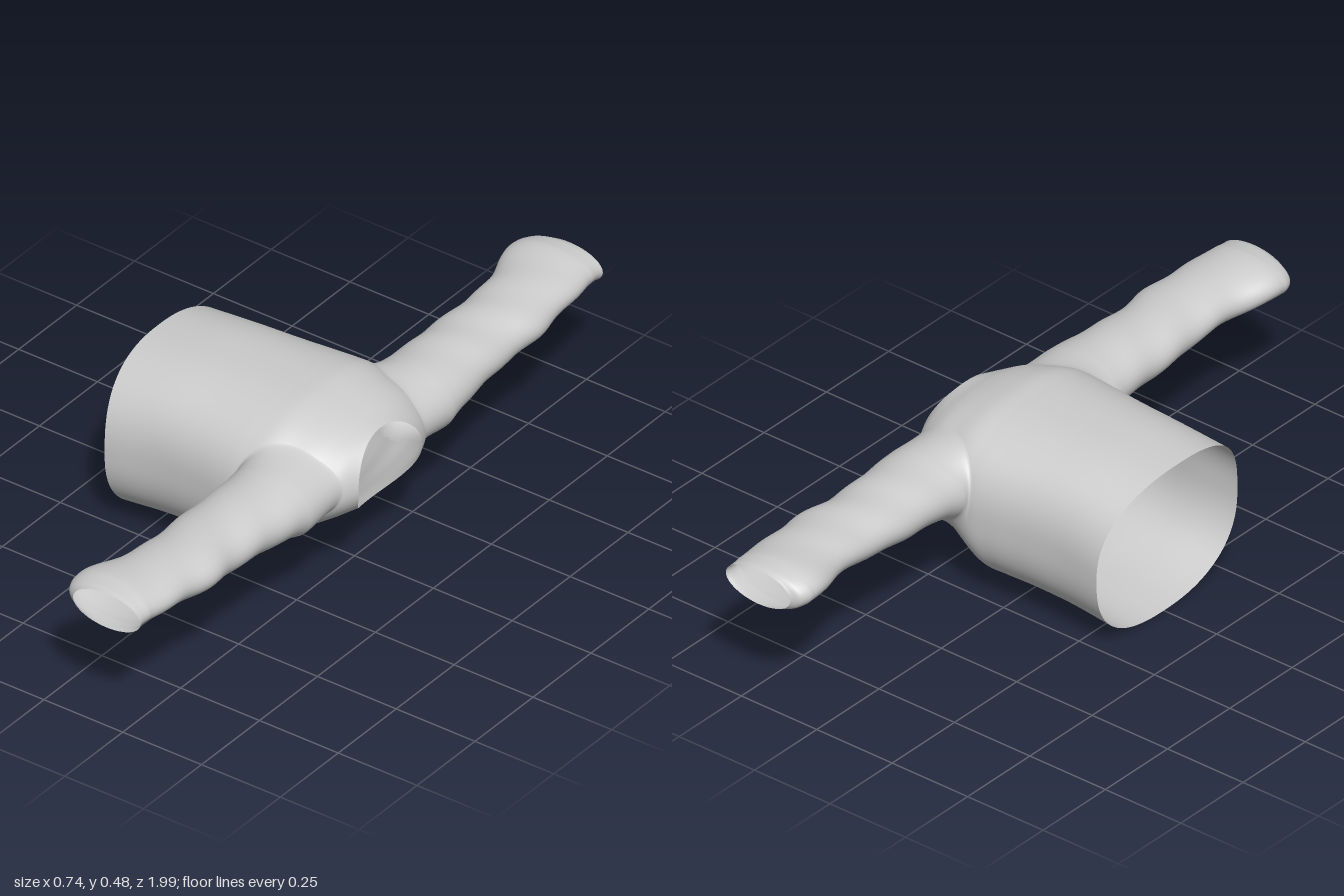
import * as THREE from 'three';

// Smooth interpolation through rows of numbers, t in row units
function sampleRows(rows, t) {
  const last = rows.length - 1;
  const i = Math.max(0, Math.min(last - 1, Math.floor(t)));
  const f = t - i;
  const row = (k) => rows[Math.max(0, Math.min(last, k))];
  return rows[i].map((p1, c) => {
    const p2 = row(i + 1)[c];
    const m1 = i === 0 ? p2 - p1 : (p2 - row(i - 1)[c]) / 2;
    const m2 = i + 1 === last ? p2 - p1 : (row(i + 2)[c] - p1) / 2;
    const f2 = f * f, f3 = f2 * f;
    return (2 * f3 - 3 * f2 + 1) * p1 + (f3 - 2 * f2 + f) * m1 + (3 * f2 - 2 * f3) * p2 + (f3 - f2) * m2;
  });
}

// Torso sections, hem to neck: x at bottom, side and top, y bottom, y top, half width, squareness
const TORSO = [
  [-0.325, -0.335, -0.372, 0.0, 0.464, 0.283, 2.4],
  [-0.2, -0.2, -0.21, 0.013, 0.477, 0.275, 2.5],
  [-0.08, -0.08, -0.08, 0.021, 0.481, 0.28, 2.5],
  [0.01, 0.02, 0.03, 0.025, 0.483, 0.29, 2.5],
  [0.065, 0.08, 0.09, 0.031, 0.484, 0.295, 2.5],
  [0.12, 0.14, 0.15, 0.073, 0.483, 0.288, 2.5],
  [0.17, 0.2, 0.21, 0.115, 0.47, 0.272, 2.4],
  [0.22, 0.27, 0.26, 0.152, 0.454, 0.25, 2.3],
  [0.26, 0.33, 0.3, 0.178, 0.438, 0.2, 2.1],
  [0.302, 0.364, 0.332, 0.2, 0.428, 0.138, 2.0],
];

// Sleeve sections, shoulder to cuff: z, x range, y range
const SLEEVE = [
  [0.31, 0.082, 0.342, 0.224, 0.414],
  [0.37, 0.09, 0.335, 0.243, 0.41],
  [0.5, 0.092, 0.322, 0.257, 0.406],
  [0.6, 0.095, 0.318, 0.266, 0.405],
  [0.7, 0.1, 0.326, 0.277, 0.408],
  [0.8, 0.09, 0.315, 0.288, 0.41],
  [0.92, 0.054, 0.308, 0.3, 0.416],
  [0.975, 0.062, 0.302, 0.3, 0.411],
  [0.997, 0.09, 0.304, 0.3, 0.404],
];

const signedPow = (v, e) => Math.sign(v) * Math.pow(Math.abs(v), e);

// Point of the torso at section u and angle a (a = 0 faces +z, a = PI/2 is up)
function torsoPoint(u, a) {
  const [xb, xs, xt, yb, yt, w, n] = sampleRows(TORSO, u);
  const s = signedPow(Math.sin(a), 2 / n);
  const x = xs + (s > 0 ? xt - xs : xb - xs) * s * s;
  return [x, (yb + yt) / 2 + (yt - yb) / 2 * s, w * signedPow(Math.cos(a), 2 / n)];
}

// Armhole: an ellipse in section/angle space
const HOLE = { u: 6.1, a: 0.15, ru: 2.25, ra: 0.66 };
const holeDistance = (u, a) => {
  const side = Math.atan2(Math.sin(a), Math.abs(Math.cos(a)));
  return Math.hypot((u - HOLE.u) / HOLE.ru, (side - HOLE.a) / HOLE.ra);
};

// Closed-ring surface from point(row, column); cells rejected by keep are left open
function ringSurface(rows, cols, point, keep = () => true) {
  const pos = [], index = [];
  for (let i = 0; i <= rows; i++)
    for (let j = 0; j < cols; j++) pos.push(...point(i, j));
  for (let i = 0; i < rows; i++)
    for (let j = 0; j < cols; j++) {
      if (!keep(i + 0.5, j + 0.5)) continue;
      const k = (j + 1) % cols;
      const a = i * cols + j, b = i * cols + k, c = a + cols, d = b + cols;
      index.push(a, b, c, b, d, c);
    }
  const g = new THREE.BufferGeometry();
  g.setAttribute('position', new THREE.Float32BufferAttribute(pos, 3));
  g.setIndex(index);
  g.computeVertexNormals();
  return g;
}

function torsoGeometry() {
  const rows = 108, cols = 128;
  const u = (i) => i / rows * (TORSO.length - 1);
  const a = (j) => -j / cols * Math.PI * 2;
  return ringSurface(rows, cols, (i, j) => torsoPoint(u(i), a(j)),
    (i, j) => holeDistance(u(i), a(j)) > 0.95);
}

function sleeveGeometry() {
  const rows = 80, cols = 64, rootRows = 12;
  const outer = (t, ang) => {
    const [z, x0, x1, y0, y1] = sampleRows(SLEEVE, t);
    // faint cloth folds along the arm
    const fold = 1 + 0.02 * Math.sin(z * 38 + 2 * ang) * Math.min(1, (z - 0.31) * 6) * (z < 0.95 ? 1 : 0.3);
    return [(x0 + x1) / 2 + (x1 - x0) / 2 * Math.cos(ang) * fold,
      (y0 + y1) / 2 + (y1 - y0) / 2 * Math.sin(ang) * fold, z];
  };
  return ringSurface(rows, cols, (i, j) => {
    const ang = j / cols * Math.PI * 2;
    if (i >= rootRows) return outer((i - rootRows) / (rows - rootRows) * (SLEEVE.length - 1), ang);
    // shoulder: curve from the armhole edge, tangent to the torso, out into the sleeve
    const onTorso = (r) => torsoPoint(HOLE.u + r * HOLE.ru * Math.cos(ang), HOLE.a + r * HOLE.ra * Math.sin(ang));
    const p0 = onTorso(1), p1 = onTorso(0.9), p3 = outer(0, ang), ahead = outer(0.3, ang);
    const f = i / rootRows, g = 1 - f;
    return p0.map((v, c) => g * g * g * v + 3 * g * g * f * p1[c]
      + 3 * g * f * f * (p3[c] - (ahead[c] - p3[c])) + f * f * f * p3[c]);
  });
}

export function createModel() {
  const model = new THREE.Group();
  model.name = 'longSleevedShirt';
  const cloth = new THREE.MeshStandardMaterial({ color: 0xcccccc, side: THREE.DoubleSide });

  const torso = new THREE.Mesh(torsoGeometry(), cloth);
  torso.name = 'torso';
  model.add(torso);

  // Mirrored pair of sleeves
  const sleeve = sleeveGeometry();
  for (const side of [1, -1]) {
    const mesh = new THREE.Mesh(sleeve, cloth);
    mesh.name = side > 0 ? 'frontSleeve' : 'backSleeve';
    mesh.scale.z = side;
    model.add(mesh);
  }
  return model;
}
